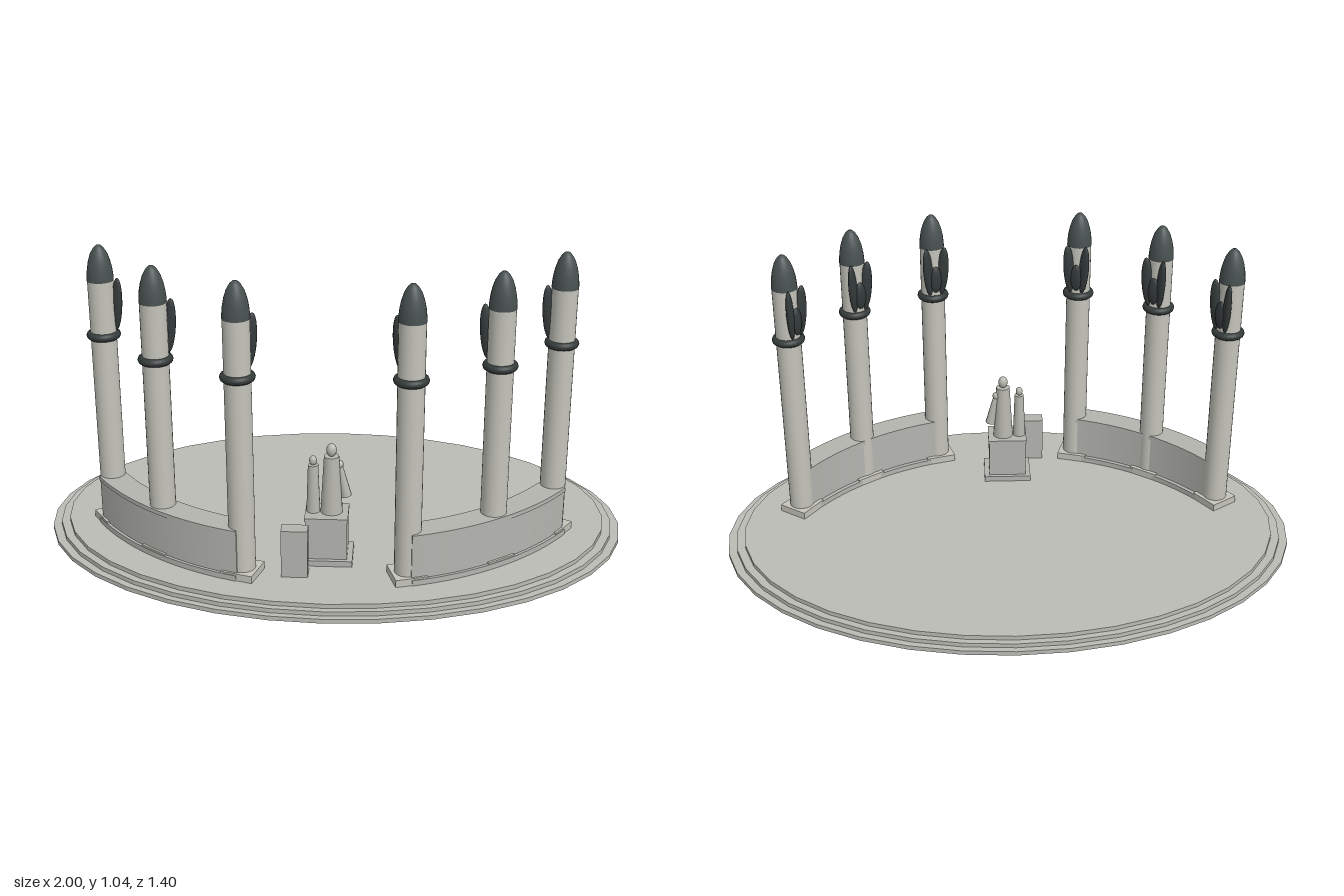
import * as THREE from 'three';

const mat = (name, color, flatShading = false) => {
  const m = new THREE.MeshStandardMaterial({ color, flatShading });
  m.name = name;
  return m;
};
const DEG = Math.PI / 180;
const CX = -0.007, CZ = -0.397, R = 0.915; // centre and radius of the colonnade arc
const ANGLES = [16.9, 36.4, 55.6];

export function createModel() {
  const root = new THREE.Group();
  const paving = mat('pavingStone', 0xbcbcb6, true);
  const stone = mat('columnStone', 0xc4c4bb);
  const wallStone = mat('wallStone', 0xb4b4af);
  const statueStone = mat('statueStone', 0xb8b8b0);
  const bronze = mat('darkBronze', 0x485050);
  const iron = mat('darkIron', 0x343a3a);

  const add = (parent, name, geo, material, x = 0, y = 0, z = 0) => {
    const m = new THREE.Mesh(geo, material);
    m.name = name;
    m.position.set(x, y, z);
    parent.add(m);
    return m;
  };

  // Three-stepped oval platform
  [[1, 0.7], [0.97, 0.68], [0.94, 0.66]].forEach(([a, b], i) => {
    const g = new THREE.CylinderGeometry(1, 1, 0.015, 36);
    g.rotateY(Math.PI / 2).scale(a, 1, b);
    add(root, 'platformStep' + (i + 1), g, paving, 0, 0.0075 + i * 0.015, 0);
  });

  // Curved wall section: ring sector raised between two heights
  const sector = (r0, r1, a0, a1, y0, y1) => {
    const t0 = (a0 - 90) * DEG, t1 = (a1 - 90) * DEG;
    const s = new THREE.Shape();
    s.absarc(0, 0, r1, t0, t1, false);
    s.absarc(0, 0, r0, t1, t0, true);
    const g = new THREE.ExtrudeGeometry(s, { depth: y1 - y0, bevelEnabled: false, curveSegments: 16 });
    return g.rotateX(-Math.PI / 2).translate(0, y0, 0);
  };

  // Column parts, shared by all six columns
  const nose = [[0.044, 0], [0.0435, 0.015], [0.041, 0.04], [0.036, 0.065], [0.028, 0.09], [0.017, 0.109], [0.008, 0.118], [0, 0.12]]
    .map(p => new THREE.Vector2(...p));
  const geos = {
    plinth: new THREE.BoxGeometry(0.108, 0.025, 0.108),
    shaft: new THREE.CylinderGeometry(0.043, 0.043, 0.86, 24),
    nose: new THREE.LatheGeometry(nose, 24),
    ring: new THREE.TorusGeometry(0.043, 0.0135, 10, 28).rotateX(Math.PI / 2),
    wing: new THREE.SphereGeometry(1, 14, 12).scale(0.021, 0.092, 0.013),
    boss: new THREE.SphereGeometry(1, 12, 10).scale(0.022, 0.05, 0.012),
  };
  const makeColumn = () => {
    const g = new THREE.Group();
    g.name = 'column';
    add(g, 'plinth', geos.plinth, stone, 0, 0.0575, 0);
    add(g, 'shaft', geos.shaft, stone, 0, 0.49, 0);
    add(g, 'pointedTop', geos.nose, bronze, 0, 0.918, 0);
    add(g, 'collar', geos.ring, iron, 0, 0.73, 0);
    // Winged emblem on the side facing the arc's centre
    for (const s of [-1, 1]) {
      const w = add(g, 'emblemWing', geos.wing, iron, s * 0.027, 0.835, -0.041);
      w.rotation.set(0, s * 0.5, -s * 0.09);
    }
    add(g, 'emblemBoss', geos.boss, iron, 0, 0.805, -0.044);
    return g;
  };

  for (const side of [-1, 1]) {
    const wing = new THREE.Group();
    wing.name = side > 0 ? 'leftColonnade' : 'rightColonnade';
    wing.position.set(CX, 0, CZ);
    root.add(wing);
    for (const a of ANGLES) {
      const c = makeColumn();
      c.position.set(side * R * Math.sin(a * DEG), 0, R * Math.cos(a * DEG));
      c.rotation.y = side * a * DEG;
      wing.add(c);
    }
    const [a0, a1] = side > 0 ? [ANGLES[0], ANGLES[2]] : [-ANGLES[2], -ANGLES[0]];
    add(wing, 'wallFooting', sector(0.862, 0.972, a0, a1, 0.045, 0.064), wallStone);
    add(wing, 'wall', sector(0.877, 0.962, a0, a1, 0.064, 0.205), wallStone);
    add(wing, 'wallCap', sector(0.874, 0.965, a0, a1, 0.205, 0.22), wallStone);
  }

  // Statue pedestal and inscription block
  const ped = new THREE.Group();
  ped.name = 'pedestal';
  ped.position.set(-0.007, 0, 0.352);
  root.add(ped);
  add(ped, 'pedestalFoot', new THREE.BoxGeometry(0.172, 0.02, 0.14), wallStone, 0, 0.055, 0);
  add(ped, 'pedestalBlock', new THREE.BoxGeometry(0.136, 0.135, 0.112), wallStone, 0, 0.1325, 0);
  add(ped, 'pedestalCap', new THREE.BoxGeometry(0.142, 0.012, 0.118), wallStone, 0, 0.206, 0);
  add(root, 'stele', new THREE.BoxGeometry(0.086, 0.165, 0.05), wallStone, -0.104, 0.1275, 0.473);

  // Statue: a tall robed figure, a smaller companion and a draped arm
  const statue = new THREE.Group();
  statue.name = 'statue';
  statue.position.set(0, 0.212, 0.348);
  root.add(statue);
  const figure = (name, x, z, rTop, rBottom, h, rHead) => {
    add(statue, name + 'Robe', new THREE.CylinderGeometry(rTop, rBottom, h, 14), statueStone, x, h / 2, z);
    add(statue, name + 'Head', new THREE.SphereGeometry(rHead, 12, 10).scale(0.9, 1.2, 0.9), statueStone, x, h + rHead * 1.1, z);
  };
  figure('tallFigure', 0.008, 0, 0.025, 0.037, 0.198, 0.019);
  figure('smallFigure', -0.052, 0, 0.017, 0.023, 0.165, 0.014);
  const arm = add(statue, 'drapedArm', new THREE.CylinderGeometry(0.009, 0.018, 0.12, 10), statueStone, 0.044, 0.113, -0.006);
  arm.rotation.z = 0.2;
  add(statue, 'shoulder', new THREE.SphereGeometry(0.014, 10, 8), statueStone, 0.033, 0.166, -0.006);

  return root;
}
